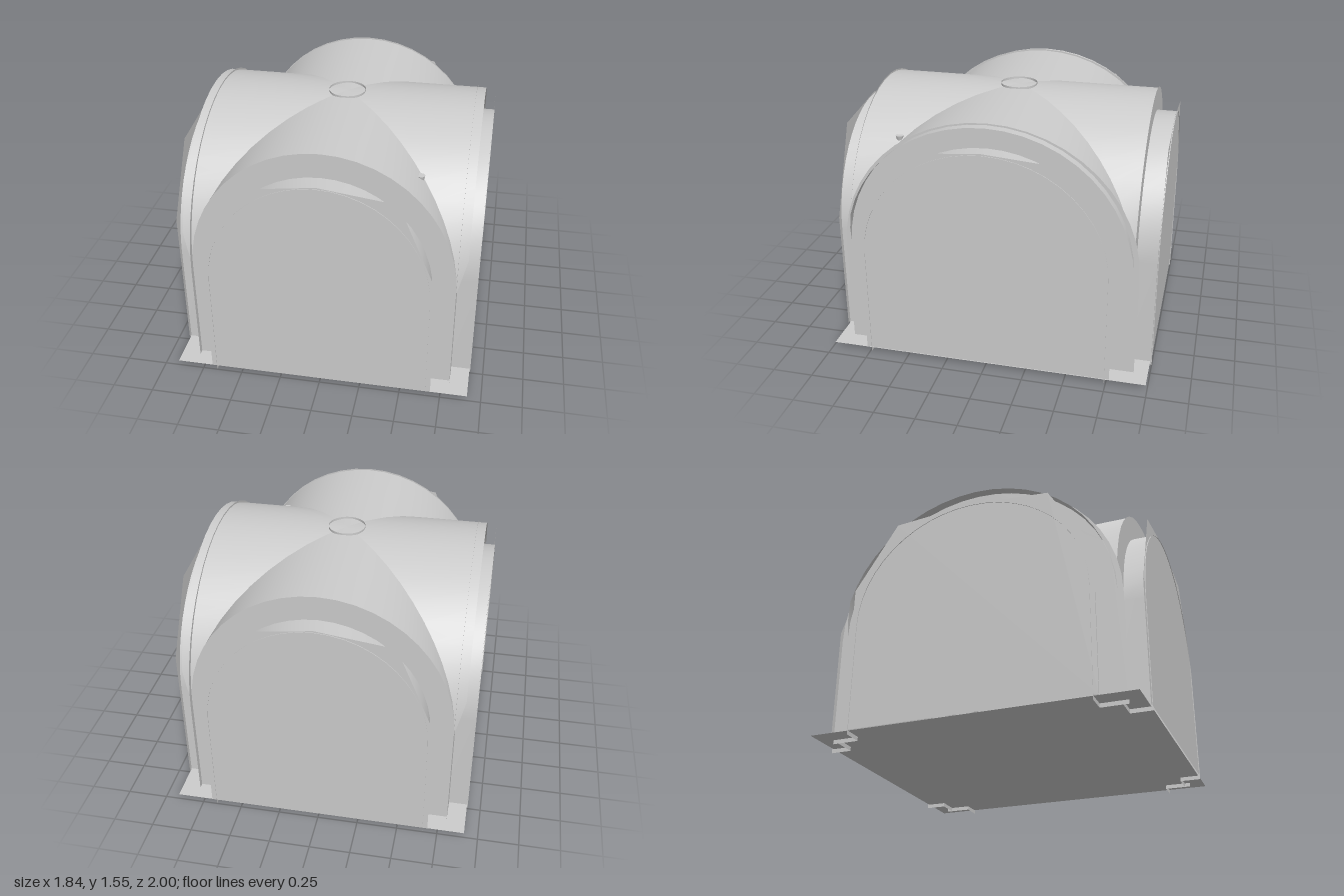
import * as THREE from 'three';

const material = new THREE.MeshStandardMaterial({ color: 0xcccccc, side: THREE.DoubleSide });
const SEGMENTS = 24;

function add(parent, name, geometry) {
  const mesh = new THREE.Mesh(geometry, material);
  mesh.name = name;
  parent.add(mesh);
  return mesh;
}

// Half ellipse from +x over the top to -x
function arch(half, spring, top) {
  return Array.from({ length: SEGMENTS + 1 }, (_, i) => {
    const t = (i / SEGMENTS) * Math.PI;
    return new THREE.Vector2(half * Math.cos(t), spring + (top - spring) * Math.sin(t));
  });
}

// Arch with straight legs down to the ground
function archWithLegs(half, spring, top) {
  return [new THREE.Vector2(half, 0), ...arch(half, spring, top), new THREE.Vector2(-half, 0)];
}

// Smooth sheet along a profile, between two depths given per point
function sheet(profile, near, far) {
  const positions = [], index = [];
  profile.forEach((p, i) => {
    positions.push(p.x, p.y, near(p, i), p.x, p.y, far(p, i));
    if (i > 0) {
      const a = 2 * i - 2;
      index.push(a, a + 1, a + 2, a + 1, a + 3, a + 2);
    }
  });
  const geometry = new THREE.BufferGeometry();
  geometry.setAttribute('position', new THREE.Float32BufferAttribute(positions, 3));
  geometry.setIndex(index);
  geometry.computeVertexNormals();
  return geometry;
}

// One side of the room, built facing +z
function createSide(s) {
  const side = new THREE.Group();

  // Quarter of the groin vault, running from the diagonals to the wall
  const slope = s.wall / s.vaultHalf;
  add(side, 'vault', sheet(
    arch(s.vaultHalf, 0.7, 1.54),
    (p) => Math.abs(p.x) * slope,
    (p, i) => s.wall + s.lip * Math.min(1, i / 2, (SEGMENTS - i) / 2)
  ));

  // Flat arched wall with piers, around the opening
  const opening = archWithLegs(s.recessHalf, 0.7, 1.4);
  const outline = [...archWithLegs(s.ringHalf, s.ringSpring, 1.55), ...opening.slice().reverse()];
  add(side, 'archWall', new THREE.ShapeGeometry(new THREE.Shape(outline))).position.z = s.wall;

  // Shallow barrel recess
  add(side, 'recess', sheet(opening, () => s.wall, () => s.end));

  // Faceted panel closing the recess
  const [a, b] = s.panel;
  const panel = [[a[0], 0.03], a, b, [0, 1.41], [-b[0], b[1]], [-a[0], a[1]], [-a[0], 0.03]];
  const shape = new THREE.Shape(panel.map(([x, y]) => new THREE.Vector2(x, y)));
  add(side, 'endPanel', new THREE.ShapeGeometry(shape)).position.z = s.end - 0.004;
  return side;
}

const FRONT = {
  vaultHalf: 0.8, wall: 0.87, lip: 0, ringHalf: 0.8, ringSpring: 0.7,
  recessHalf: 0.66, end: 1, panel: [[0.69, 0.8], [0.46, 1.35]],
};
const FLANK = {
  vaultHalf: 0.87, wall: 0.8, lip: 0.055, ringHalf: 0.905, ringSpring: 0.68,
  recessHalf: 0.74, end: 0.92, panel: [[0.77, 0.95], [0.5, 1.37]],
};

export function createModel() {
  const model = new THREE.Group();
  model.name = 'vaultedRoom';

  ['frontBay', 'leftBay', 'backBay', 'rightBay'].forEach((name, i) => {
    const bay = createSide(i % 2 ? FLANK : FRONT);
    bay.name = name;
    bay.rotation.y = (i * Math.PI) / 2;
    model.add(bay);
  });

  // Thin floor
  const floor = add(model, 'floor', new THREE.PlaneGeometry(1.83, 1.98));
  floor.rotation.x = -Math.PI / 2;
  floor.position.y = 0.025;

  // Low ring at the crown of the vault
  const crown = add(model, 'crownRing', new THREE.CylinderGeometry(0.115, 0.115, 0.02, 32, 1, true));
  crown.position.y = 1.54;

  // Small lamp in one valley of the vault
  const lamp = add(model, 'lamp', new THREE.CylinderGeometry(0.025, 0.012, 0.05, 12));
  lamp.position.set(0.54, 1.305, 0.62);
  return model;
}
